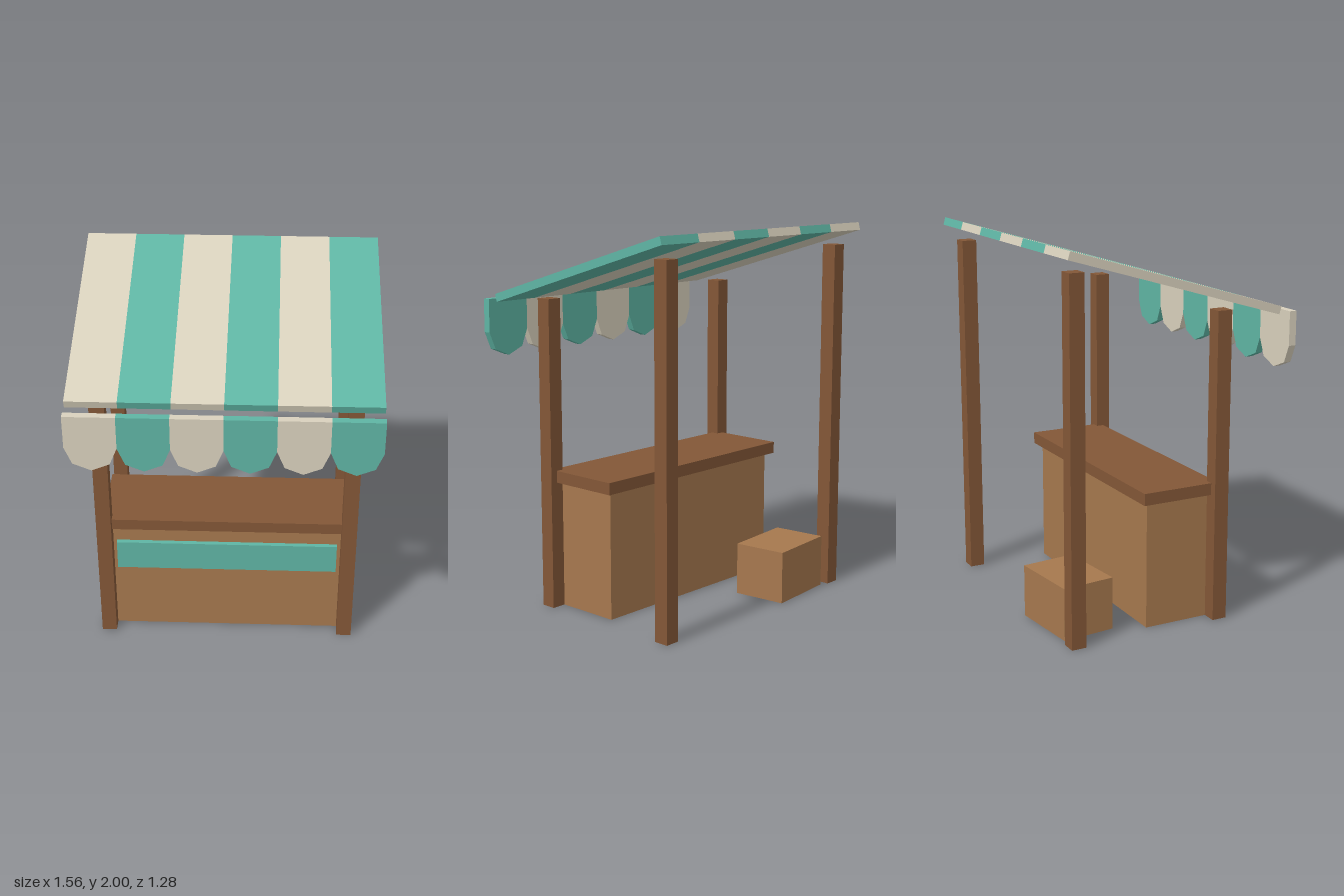
import * as THREE from 'three';

const mat = (color) => new THREE.MeshStandardMaterial({ color, flatShading: true });

export function createModel() {
  const stall = new THREE.Group();
  stall.name = 'marketStall';

  const darkWood = mat(0x835737);
  const lightWood = mat(0xa6784e);
  const teal = mat(0x5fb5a4);
  const cream = mat(0xd9d1bd);

  const add = (parent, name, geometry, material, x, y, z) => {
    const mesh = new THREE.Mesh(geometry, material);
    mesh.name = name;
    mesh.position.set(x, y, z);
    parent.add(mesh);
    return mesh;
  };
  const box = (parent, name, w, h, d, material, x, y, z) =>
    add(parent, name, new THREE.BoxGeometry(w, h, d), material, x, y, z);

  // Corner posts: the back pair is taller to carry the sloping roof
  for (const [side, sx] of [['left', 1], ['right', -1]]) {
    box(stall, side + 'FrontPost', 0.08, 1.64, 0.08, darkWood, sx * 0.658, 0.82, 0.27);
    box(stall, side + 'BackPost', 0.08, 1.885, 0.08, darkWood, sx * 0.658, 0.9425, -0.55);
  }

  // Counter with an overhanging top and a coloured front panel
  box(stall, 'counterBody', 1.24, 0.68, 0.36, lightWood, 0, 0.34, 0.055);
  box(stall, 'counterTop', 1.32, 0.063, 0.43, darkWood, 0, 0.708, 0.055);
  box(stall, 'counterPanel', 1.196, 0.17, 0.03, teal, 0, 0.495, 0.245);

  // Crate behind the counter, turned slightly
  box(stall, 'crate', 0.4, 0.28, 0.29, lightWood, -0.364, 0.14, -0.447).rotation.y = 0.1;

  // Scalloped flap: straight sides ending in a four-sided half round
  const stripes = 6;
  const width = 0.26;
  const r = width / 2;
  const flapShape = new THREE.Shape();
  flapShape.moveTo(r, 0.177);
  flapShape.lineTo(-r, 0.177);
  for (let i = 0; i <= 4; i++) {
    const a = Math.PI + (i * Math.PI) / 4;
    flapShape.lineTo(r * Math.cos(a), r * Math.sin(a));
  }
  const flapGeometry = new THREE.ExtrudeGeometry(flapShape, { depth: 0.04, bevelEnabled: false });

  // Striped sloping roof and the row of flaps in front of it
  const roof = new THREE.Group();
  roof.name = 'roof';
  roof.position.set(0, 1.805, -0.044);
  roof.rotation.x = 0.29;
  const valance = new THREE.Group();
  valance.name = 'valance';
  stall.add(roof, valance);
  for (let i = 0; i < stripes; i++) {
    const x = (i - (stripes - 1) / 2) * width;
    const cloth = i % 2 ? teal : cream;
    box(roof, 'roofStripe', width, 0.042, 1.223, cloth, x, 0, 0);
    add(valance, 'valanceFlap', flapGeometry, cloth, x, 1.443, 0.6);
  }

  return stall;
}
